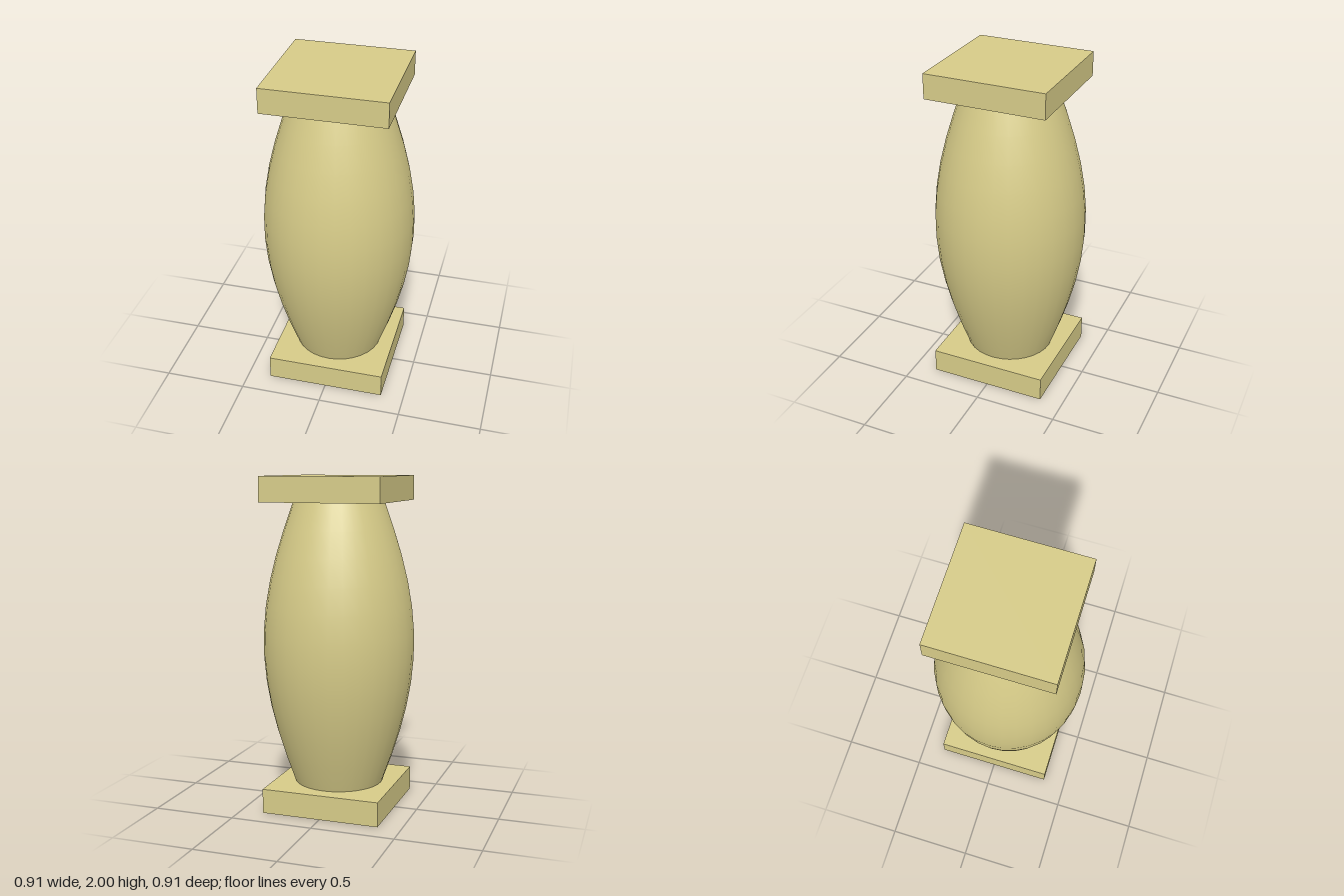
import * as THREE from 'three';

export function createModel() {
  const group = new THREE.Group();
  const stone = new THREE.MeshStandardMaterial({ color: 0xd6cb88 });
  stone.name = 'sandstone';

  // Bulging shaft, running through both slabs and closed just inside them
  const steps = 13;
  const profile = [new THREE.Vector2(0, 0.002)];
  for (let i = 0; i <= steps; i++) {
    const t = i / steps;
    const y = THREE.MathUtils.clamp(t * 2, 0.002, 1.998);
    profile.push(new THREE.Vector2(0.215 + 0.24 * Math.sin(Math.PI * t), y));
  }
  profile.push(new THREE.Vector2(0, 1.998));
  const shaft = new THREE.Mesh(new THREE.LatheGeometry(profile, 32), stone);
  shaft.name = 'shaft';
  group.add(shaft);

  // Square slabs at the foot and head
  const slab = new THREE.BoxGeometry(0.72, 0.148, 0.72);
  for (const [name, y] of [['basePlinth', 0.074], ['topPlinth', 1.926]]) {
    const mesh = new THREE.Mesh(slab, stone);
    mesh.name = name;
    mesh.position.y = y;
    group.add(mesh);
  }
  return group;
}
